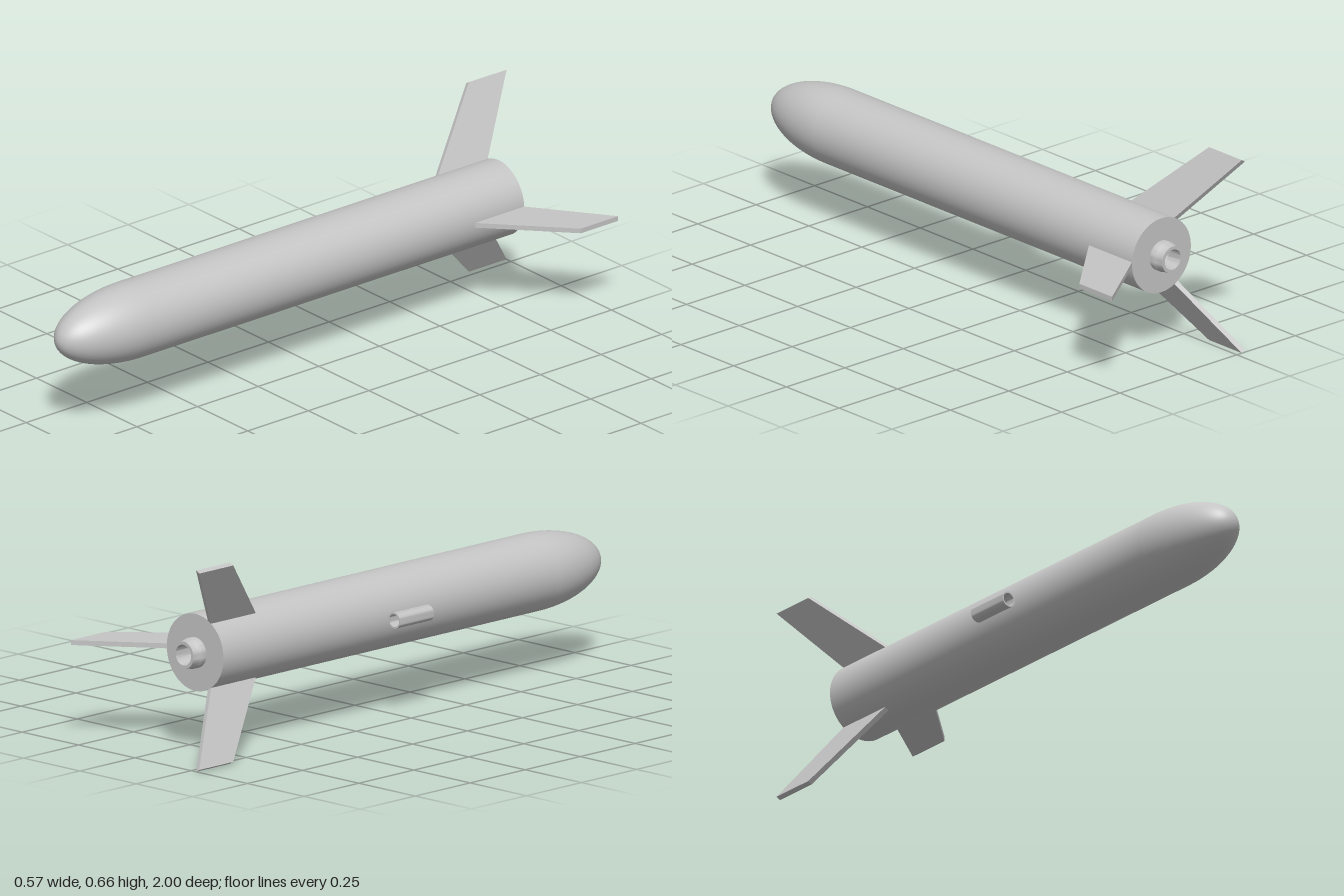
import * as THREE from 'three';
import { toCreasedNormals } from 'three/addons/utils/BufferGeometryUtils.js';

const AXIS_X = -0.091, AXIS_Y = 0.331;
const RADIUS = 0.126, TAIL_Z = -0.819, SHOULDER_Z = 0.7;

export function createModel() {
  const model = new THREE.Group();
  const lightGrey = new THREE.MeshStandardMaterial({ color: 0xc4c4c4 });

  const rocket = new THREE.Group();
  rocket.name = 'rocket';
  rocket.position.set(AXIS_X, AXIS_Y, 0);
  model.add(rocket);

  const add = (name, geometry) => {
    const mesh = new THREE.Mesh(geometry, lightGrey);
    mesh.name = name;
    rocket.add(mesh);
    return mesh;
  };

  // Turns a profile of [radius, z] around the long axis
  const lathe = (profile, segments) => new THREE.LatheGeometry(
    profile.map(([r, z]) => new THREE.Vector2(r, z)), segments).rotateX(Math.PI / 2);

  // The same, keeping sharp rims
  const turn = (profile, segments) => toCreasedNormals(lathe(profile, segments), 0.6);

  // Body tube with its flat tail disc
  add('bodyTube', turn([[0.03, TAIL_Z], [RADIUS, TAIL_Z], [RADIUS, SHOULDER_Z]], 64));

  // Elliptical nose cone
  const nose = [];
  for (let i = 0; i < 24; i++) {
    const a = (i / 24) * Math.PI / 2;
    nose.push([RADIUS * Math.cos(a), SHOULDER_Z + 0.3 * Math.sin(a)]);
  }
  nose.push([0, SHOULDER_Z + 0.3]);
  add('noseCone', lathe(nose, 64));

  // Hollow stepped nozzle
  add('nozzle', turn([
    [0, -0.8], [0.03, -0.82], [0.034, -0.873], [0.045, -0.873],
    [0.047, -0.847], [0.05, -0.842], [0.05, TAIL_Z],
  ], 40));

  // Launch lug, an open ring-shaped tube beside the body
  const lug = add('launchLug', turn([
    [0.021, 0.085], [0.021, -0.07], [0.026, -0.07], [0.026, 0.085], [0.021, 0.085],
  ], 32));
  lug.position.x = -0.152;

  // Three swept fins
  const outline = new THREE.Shape([
    [0.115, 0.605], [0.375, 0.845], [0.375, 1], [0.126, 0.819], [0.115, 0.815],
  ].map(([r, back]) => new THREE.Vector2(r, back)));
  const thickness = 0.016;
  const finGeometry = new THREE.ExtrudeGeometry(outline, { depth: thickness, bevelEnabled: false })
    .translate(0, 0, -thickness / 2)
    .rotateX(-Math.PI / 2);
  for (let i = 0; i < 3; i++) {
    add('fin' + (i + 1), finGeometry).rotation.z = (i * 2 * Math.PI) / 3;
  }

  return model;
}
